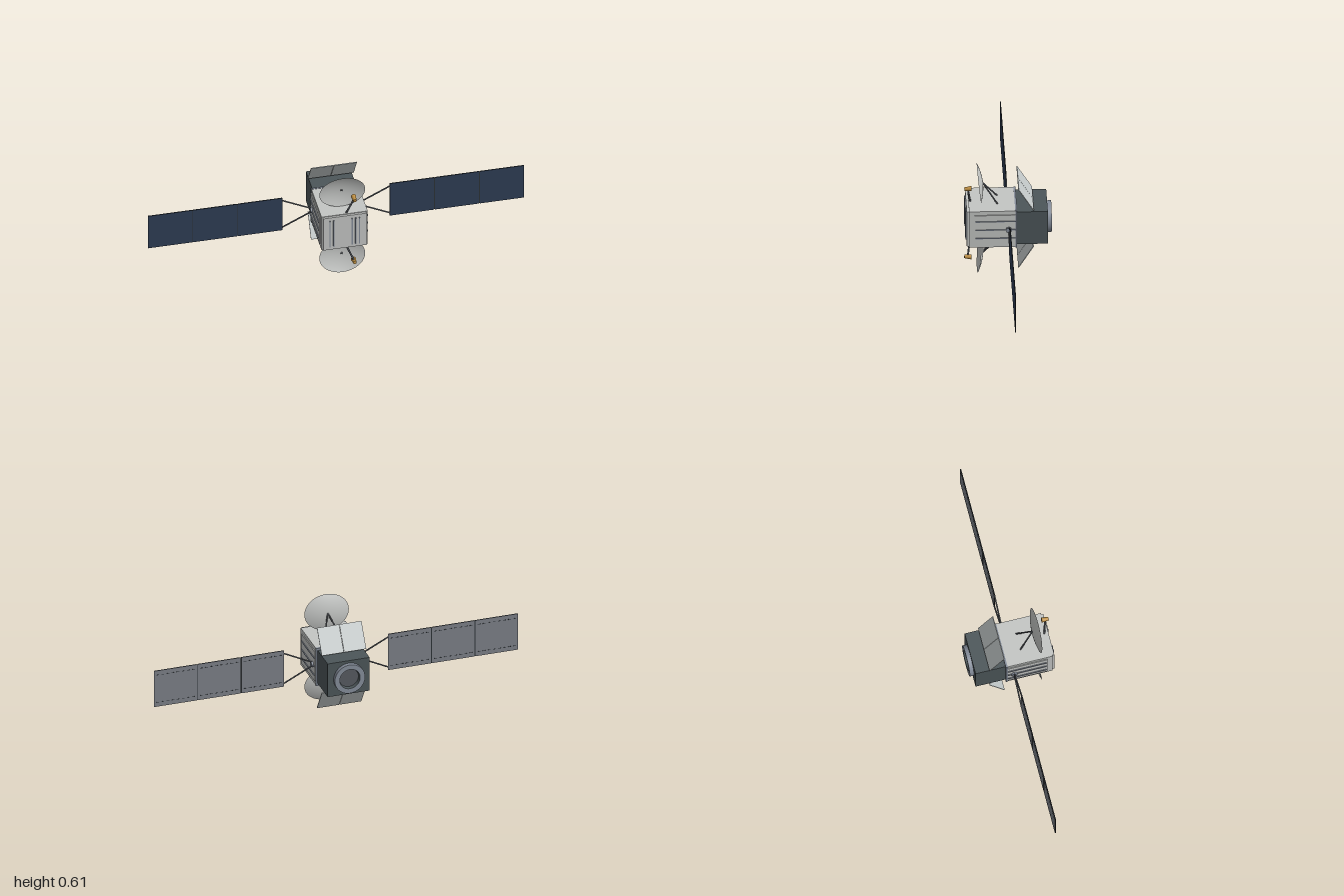
import * as THREE from 'three';

const MID = 0.3125; // height of the spacecraft's centre line

function paint(name, color, side = THREE.FrontSide) {
  const m = new THREE.MeshStandardMaterial({ color, side });
  m.name = name;
  return m;
}

export function createModel() {
  const root = new THREE.Group();
  root.name = 'satellite';
  const hull = paint('hullGrey', 0xc4c6c4);
  const dishMat = paint('dishGrey', 0xc2c4c2, THREE.DoubleSide);
  const dark = paint('darkSlate', 0x4c5659);
  const navy = paint('solarBlue', 0x2e3d55);
  const backing = paint('panelBacking', 0x7c8087);
  const strutMat = paint('strutGrey', 0x565a60);
  const finMat = paint('finGrey', 0x858d9a);
  const gold = paint('gold', 0xbe8f42);
  const black = paint('seamBlack', 0x2c3236);
  const flapMat = paint('flapGrey', 0xc4caca);

  function add(name, geometry, material, x = 0, y = 0, z = 0) {
    const mesh = new THREE.Mesh(geometry, material);
    mesh.name = name;
    mesh.position.set(x, y, z);
    root.add(mesh);
    return mesh;
  }
  const box = (name, w, h, d, mat, x, y, z) =>
    add(name, new THREE.BoxGeometry(w, h, d), mat, x, y, z);

  // Tapered rod running from a to b
  function rod(name, a, b, r0, r1, mat, sides = 8) {
    const from = new THREE.Vector3(...a), to = new THREE.Vector3(...b);
    const dir = to.clone().sub(from);
    const mesh = add(name, new THREE.CylinderGeometry(r1, r0, dir.length(), sides), mat);
    mesh.position.copy(from).add(to).multiplyScalar(0.5);
    mesh.quaternion.setFromUnitVectors(new THREE.Vector3(0, 1, 0), dir.normalize());
    return mesh;
  }

  // Main body, front plate, rear collar and engine bay
  box('body', 0.246, 0.216, 0.245, hull, 0, MID, 0.0825);
  box('frontPlate', 0.232, 0.208, 0.012, hull, 0, MID, 0.211);
  box('collar', 0.25, 0.22, 0.01, finMat, 0, MID, -0.04);
  box('engineBay', 0.23, 0.194, 0.16, dark, 0, MID, -0.125);

  // Upright fins on the front
  for (const x of [-0.081, -0.06, 0.037, 0.057, 0.076])
    box('frontFin', 0.006, 0.168, 0.007, finMat, x, MID, 0.2195);

  // Engine ring with a recessed centre
  const ring = [[0.083, 0], [0.083, 0.022], [0.056, 0.022], [0.052, 0.004]];
  for (let i = 0; i < 3; i++) {
    const pts = ring.slice(i, i + 2).map(p => new THREE.Vector2(...p));
    const mat = i === 2 ? dark : finMat;
    add('engineRing', new THREE.LatheGeometry(pts, 40), mat, 0, MID, -0.205).rotation.x = -Math.PI / 2;
  }
  add('engineFloor', new THREE.CircleGeometry(0.053, 40), strutMat, 0, MID, -0.209).rotation.y = Math.PI;

  // Side panels with ribs, hubs, and solar wings
  for (const s of [-1, 1]) {
    box('sidePanel', 0.006, 0.172, 0.212, hull, s * 0.125, MID, 0.071);
    for (const y of [0.362, 0.312, 0.262])
      box('sideRib', 0.006, 0.004, 0.207, finMat, s * 0.13, y, 0.0685);
    const hub = add('wingHub', new THREE.CylinderGeometry(0.016, 0.016, 0.016, 8), finMat, s * 0.13, MID, -0.001);
    hub.rotation.z = Math.PI / 2;

    for (const v of [-1, 1])
      rod('wingStrut', [s * 0.13, MID + v * 0.01, -0.002], [s * 0.287, MID + v * 0.088, -0.002], 0.004, 0.004, strutMat);

    for (let i = 0; i < 3; i++) {
      const x = s * (0.4035 + i * 0.2395);
      box('solarPanel', 0.235, 0.21, 0.005, [black, black, black, black, navy, backing], x, MID, -0.002);
      // Stitched strips along the back of the panel
      for (const v of [-1, 1])
        for (let k = 0; k < 8; k++)
          box('backStitch', 0.015, 0.003, 0.001, black, x + (k - 3.5) * 0.028, MID + v * 0.08, -0.005);
      if (i < 2) box('panelHinge', 0.006, 0.206, 0.003, black, x + s * 0.11975, MID, -0.002);
    }
  }

  // Dishes, feeds and radiator flaps, mirrored above and below the body
  const dishProfile = [];
  for (let i = 0; i <= 10; i++) dishProfile.push(new THREE.Vector2(Math.max(i / 10, 0.0001), 0.021 * (i / 10) ** 2 - 0.021));
  for (const v of [-1, 1]) {
    const Y = d => MID + v * d;
    const dish = add('dish', new THREE.LatheGeometry(dishProfile, 48), dishMat, 0, Y(0.2085), 0.149);
    dish.scale.set(0.122, 1, 0.0996);
    dish.rotation.x = Math.PI / 2 + v * 0.11;

    for (const s of [-1, 1])
      rod('dishStrut', [s * 0.045, Y(0.105), 0.053], [0, Y(0.21), 0.13], 0.004, 0.004, strutMat);

    rod('feedPost', [0.01, Y(0.105), 0.195], [0.05, Y(0.203), 0.209], 0.005, 0.005, strutMat);
    rod('feedHorn', [0.05, Y(0.2065), 0.19], [0.05, Y(0.203), 0.227], 0.0135, 0.009, gold, 20);

    for (const s of [-1, 1]) {
      const flap = box('radiatorFlap', 0.121, 0.148, 0.004, flapMat, s * 0.0615, Y(0.1715), -0.091);
      flap.rotation.x = v * Math.atan2(0.078, 0.126);
    }
  }
  return root;
}
